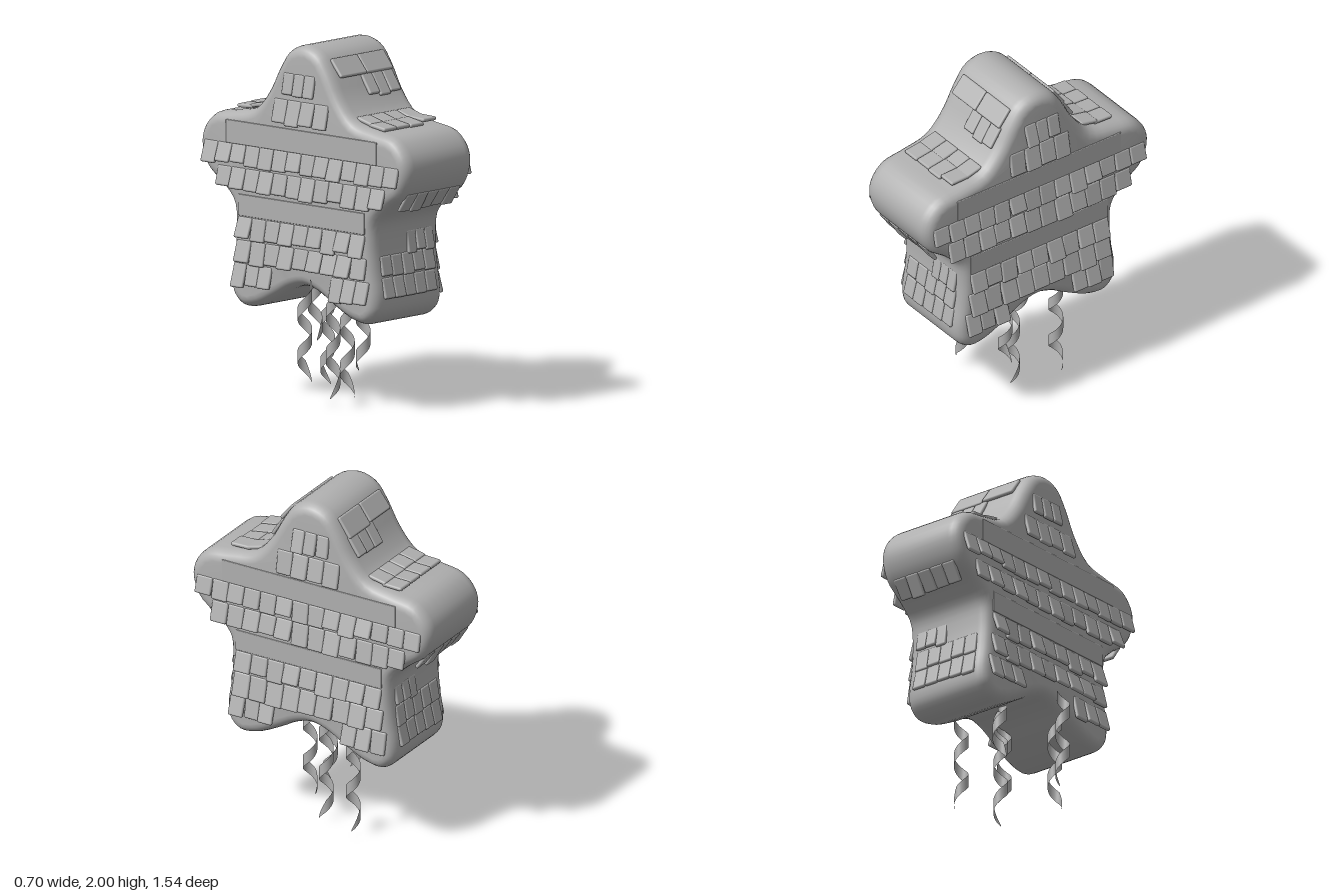
import * as THREE from 'three';
import { toCreasedNormals } from 'three/addons/utils/BufferGeometryUtils.js';
import { RoundedBoxGeometry } from 'three/addons/geometries/RoundedBoxGeometry.js';

const CX = 0.012; // middle of the body's thickness

export function createModel() {
  const model = new THREE.Group();
  model.name = 'starPinata';
  const paper = new THREE.MeshStandardMaterial({ color: 0xb0b0b0, side: THREE.DoubleSide });
  paper.name = 'grey paper';

  let seed = 7;
  const rand = () => ((seed = (seed * 16807) % 2147483647) / 2147483647);
  const jitter = (a) => (rand() - 0.5) * 2 * a;

  // Star body: half outline as (z, y), mirrored and extruded across x
  const half = [[0, 2], [0.11, 1.965], [0.185, 1.87], [0.27, 1.72], [0.37, 1.615], [0.52, 1.58],
    [0.67, 1.55], [0.755, 1.46], [0.77, 1.36], [0.72, 1.24], [0.61, 1.155], [0.53, 1.07],
    [0.515, 0.95], [0.525, 0.8], [0.545, 0.65], [0.53, 0.56], [0.46, 0.5], [0.35, 0.51],
    [0.2, 0.58], [0.1, 0.635], [0, 0.66]];
  const mirrored = half.slice(1, -1).reverse().map(([z, y]) => [-z, y]);
  const outline = new THREE.CatmullRomCurve3(
    [...half, ...mirrored].map(([z, y]) => new THREE.Vector3(z, y, 0)), true);
  const shape = new THREE.Shape(outline.getPoints(140).slice(0, -1).map((p) => new THREE.Vector2(p.x, p.y)));
  const bodyGeo = new THREE.ExtrudeGeometry(shape, {
    depth: 0.42, bevelThickness: 0.075, bevelSize: 0.06, bevelOffset: -0.06, bevelSegments: 5,
  });
  bodyGeo.rotateY(-Math.PI / 2).translate(0.21 + CX, 0, 0);
  const body = new THREE.Mesh(toCreasedNormals(bodyGeo, 0.7), paper);
  body.name = 'starBody';
  model.add(body);

  // One paper flap spanning from a hinge point to a lower edge point
  function addFlap(group, top, bottom, widthAxis, width, thickness = 0.022) {
    const up = top.clone().sub(bottom);
    const length = up.length();
    up.normalize();
    const geo = new RoundedBoxGeometry(width, length, thickness, 2, thickness * 0.45);
    const basis = new THREE.Matrix4().makeBasis(widthAxis, up, widthAxis.clone().cross(up));
    basis.setPosition(top.clone().add(bottom).multiplyScalar(0.5));
    const flap = new THREE.Mesh(geo.applyMatrix4(basis), paper);
    flap.name = 'flap';
    group.add(flap);
  }

  // Fringe rows on both broad faces: [top y, bottom y, z from, z to, flap count]
  const faceRows = [
    [1.84, 1.71, -0.13, 0.1, 3], [1.69, 1.555, -0.2, 0.2, 4],
    [1.4, 1.29, -0.72, 0.72, 14], [1.27, 1.15, -0.62, 0.62, 12],
    [1.0, 0.88, -0.47, 0.47, 9], [0.87, 0.745, -0.48, 0.48, 9],
    [0.74, 0.61, 0.22, 0.5, 3], [0.74, 0.61, -0.5, -0.22, 3],
  ];
  const zAxis = new THREE.Vector3(0, 0, 1);
  const xAxis = new THREE.Vector3(1, 0, 0);
  for (const side of [-1, 1]) {
    const fringe = new THREE.Group();
    fringe.name = side > 0 ? 'leftFringe' : 'rightFringe';
    for (const [yTop, yBottom, z0, z1, count] of faceRows) {
      const step = (z1 - z0) / count;
      for (let i = 0; i < count; i++) {
        const z = z0 + (i + 0.5) * step;
        addFlap(fringe,
          new THREE.Vector3(CX + side * 0.278, yTop, z),
          new THREE.Vector3(CX + side * (0.31 + jitter(0.01)), yBottom + jitter(0.013), z + jitter(0.004)),
          zAxis, step * 0.99);
      }
    }
    // Smooth paper bands between the rows
    for (const [y, height, width] of [[1.465, 0.13, 1.12], [1.065, 0.12, 0.94]]) {
      addFlap(fringe,
        new THREE.Vector3(CX + side * 0.285, y + height / 2, 0),
        new THREE.Vector3(CX + side * 0.285, y - height / 2, 0), zAxis, width, 0.01);
    }
    model.add(fringe);
  }

  // Fringe rows around the rim: [hinge z, hinge y, edge z, edge y, flap count, x from]
  const rimRows = [
    [0.145, 1.935, 0.222, 1.835, 2, -0.2], [0.207, 1.835, 0.28, 1.725, 3, -0.02],
    [0.34, 1.63, 0.45, 1.602, 4, -0.2], [0.43, 1.603, 0.55, 1.592, 4, -0.2],
    [0.72, 1.25, 0.65, 1.14, 5, -0.2],
    [0.505, 1.0, 0.528, 0.88, 3, 0.02], [0.512, 0.88, 0.536, 0.765, 5, -0.2],
    [0.525, 0.76, 0.552, 0.64, 5, -0.2],
  ];
  for (const end of [-1, 1]) {
    const fringe = new THREE.Group();
    fringe.name = end > 0 ? 'frontRimFringe' : 'backRimFringe';
    for (const [zTop, yTop, zEdge, yEdge, count, xStart] of rimRows) {
      const step = (0.23 - xStart) / count;
      for (let i = 0; i < count; i++) {
        const x = xStart + (i + 0.5) * step;
        addFlap(fringe,
          new THREE.Vector3(x, yTop, end * zTop),
          new THREE.Vector3(x, yEdge + jitter(0.01), end * (zEdge + jitter(0.004))),
          xAxis, step * 0.99);
      }
    }
    model.add(fringe);
  }

  // Curled ribbon: a vertical strip winding down a helix, tapering at its tip
  function addStreamer(x, z, yTop, yBottom, phase) {
    const steps = 56, radius = 0.04, pitch = 0.24, positions = [], index = [];
    for (let i = 0; i <= steps; i++) {
      const t = i / steps;
      const y = yTop + (yBottom - yTop) * t;
      const a = phase + ((yTop - y) / pitch) * Math.PI * 2;
      const width = 0.075 * Math.min(1, (1 - t) * 10 + 0.1);
      const px = x + radius * Math.cos(a), pz = z + radius * Math.sin(a);
      positions.push(px, y + width, pz, px, y, pz);
      if (i < steps) {
        const k = i * 2;
        index.push(k, k + 1, k + 2, k + 1, k + 3, k + 2);
      }
    }
    const geo = new THREE.BufferGeometry();
    geo.setAttribute('position', new THREE.Float32BufferAttribute(positions, 3));
    geo.setIndex(index);
    geo.computeVertexNormals();
    const streamer = new THREE.Mesh(geo, paper);
    streamer.name = 'streamer';
    model.add(streamer);
  }
  [
    [-0.32, 0.07, 0.64, 0.14, 0], [-0.19, 0.16, 0.58, 0.05, 1.5], [0.08, 0.02, 0.64, 0, 3],
    [0.17, -0.21, 0.58, 0.03, 4.2], [-0.03, -0.12, 0.62, 0.32, 0.6], [0.12, 0.1, 0.62, 0.15, 5.2],
  ].forEach((s) => addStreamer(...s));

  return model;
}
